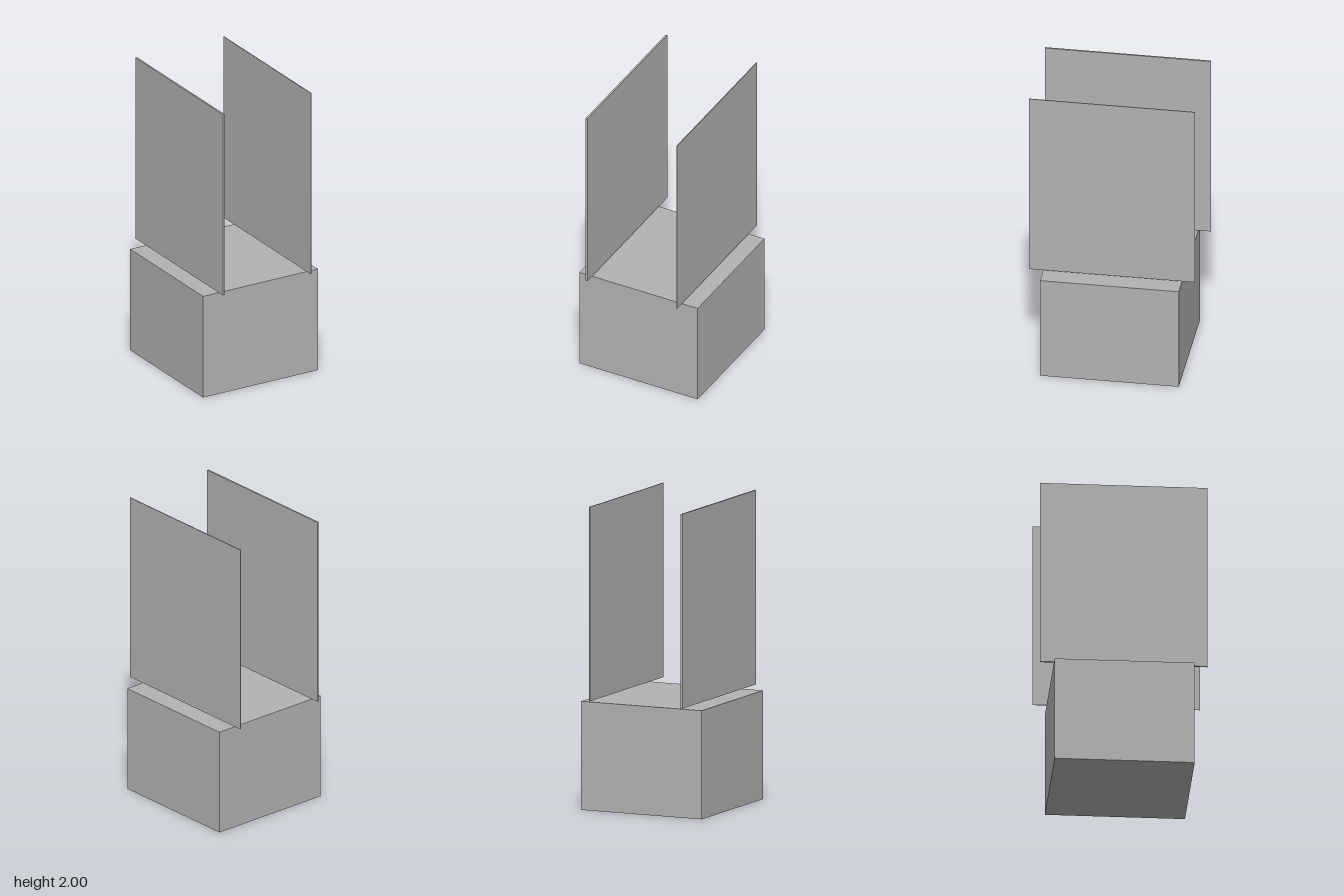
import * as THREE from 'three';

export function createModel() {
  const model = new THREE.Group();
  const grey = new THREE.MeshStandardMaterial({ color: 0xb2b2b2 });
  grey.name = 'grey';

  // Box spanning the given ranges on each axis
  function addBox(name, [x0, x1], [y0, y1], [z0, z1]) {
    const mesh = new THREE.Mesh(new THREE.BoxGeometry(x1 - x0, y1 - y0, z1 - z0), grey);
    mesh.position.set((x0 + x1) / 2, (y0 + y1) / 2, (z0 + z1) / 2);
    mesh.name = name;
    model.add(mesh);
  }

  // Solid block at the bottom
  addBox('baseBlock', [-0.433, 0.433], [0, 0.71], [-0.454, 0.452]);

  // Two upright panels hovering just above it, the right one thicker
  const panelY = [0.73, 2];
  const panelZ = [-0.542, 0.542];
  addBox('rightPanel', [-0.339, -0.327], panelY, panelZ);
  addBox('leftPanel', [0.325, 0.331], panelY, panelZ);

  return model;
}
